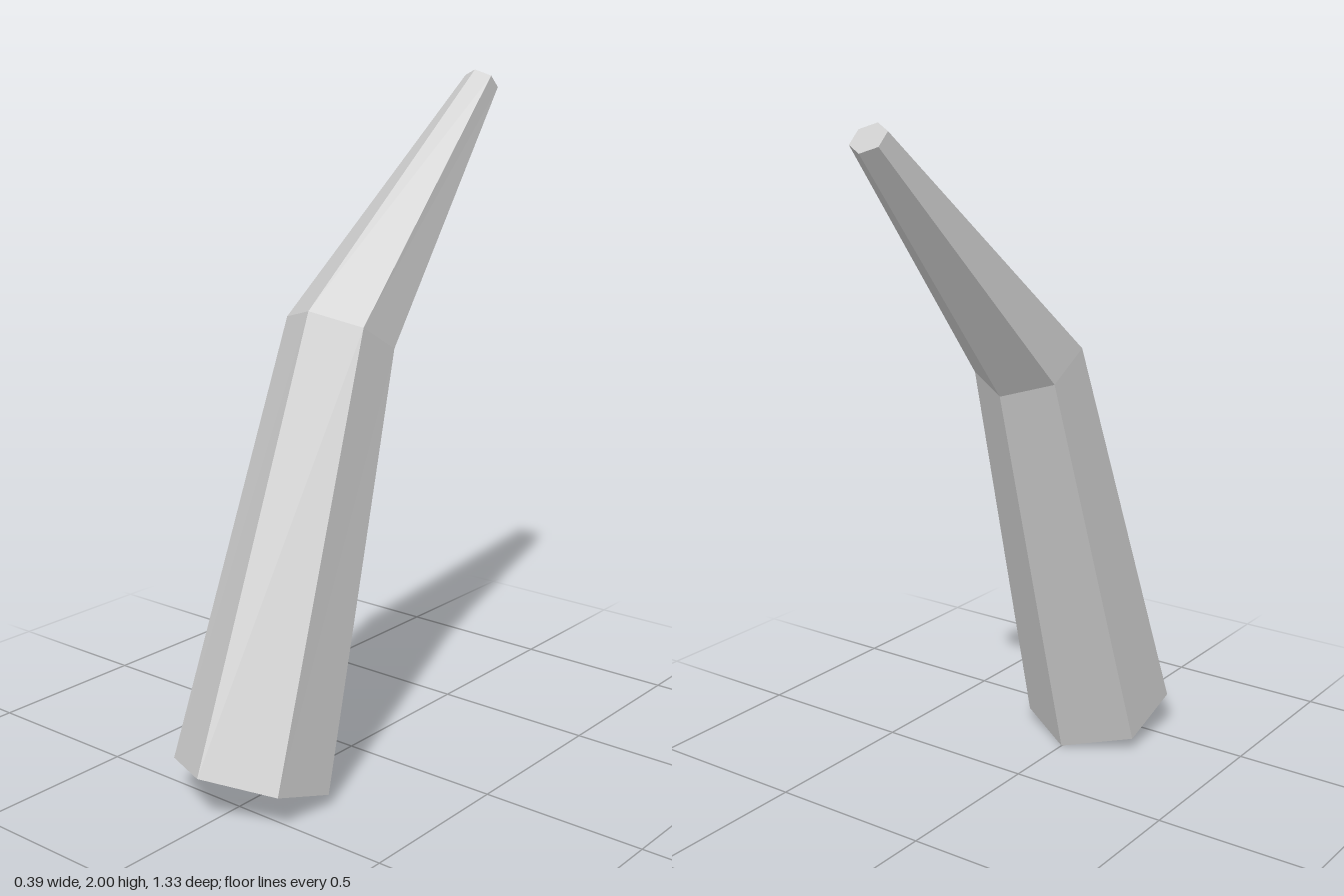
import * as THREE from 'three';

// Hexagonal cross-sections from base to tip: centre (y, z),
// offset from centre to front corner (dy, dz), half width in x
const RINGS = [
  { y: 0.075, z: 0.451, dy: 0.074, dz: 0.214, w: 0.197 },
  { y: 1.29, z: 0.049, dy: 0.08, dz: 0.139, w: 0.139 },
  { y: 1.965, z: -0.628, dy: 0.035, dz: 0.037, w: 0.047 },
];

export function createModel() {
  const group = new THREE.Group();
  group.name = 'bentSpike';

  // Six-sided prism whose rings are moved onto the bent, tapering sections
  const geometry = new THREE.CylinderGeometry(1, 1, 2, 6, 2);
  const p = geometry.attributes.position;
  for (let i = 0; i < p.count; i++) {
    const r = RINGS[Math.round(p.getY(i)) + 1];
    const across = p.getX(i) / Math.sin(Math.PI / 3);
    const forward = p.getZ(i);
    p.setXYZ(i, across * r.w, r.y + forward * r.dy, r.z + forward * r.dz);
  }
  geometry.computeVertexNormals();

  const material = new THREE.MeshStandardMaterial({ color: 0xcccccc, flatShading: true });
  const spike = new THREE.Mesh(geometry, material);
  spike.name = 'spike';
  group.add(spike);
  return group;
}
